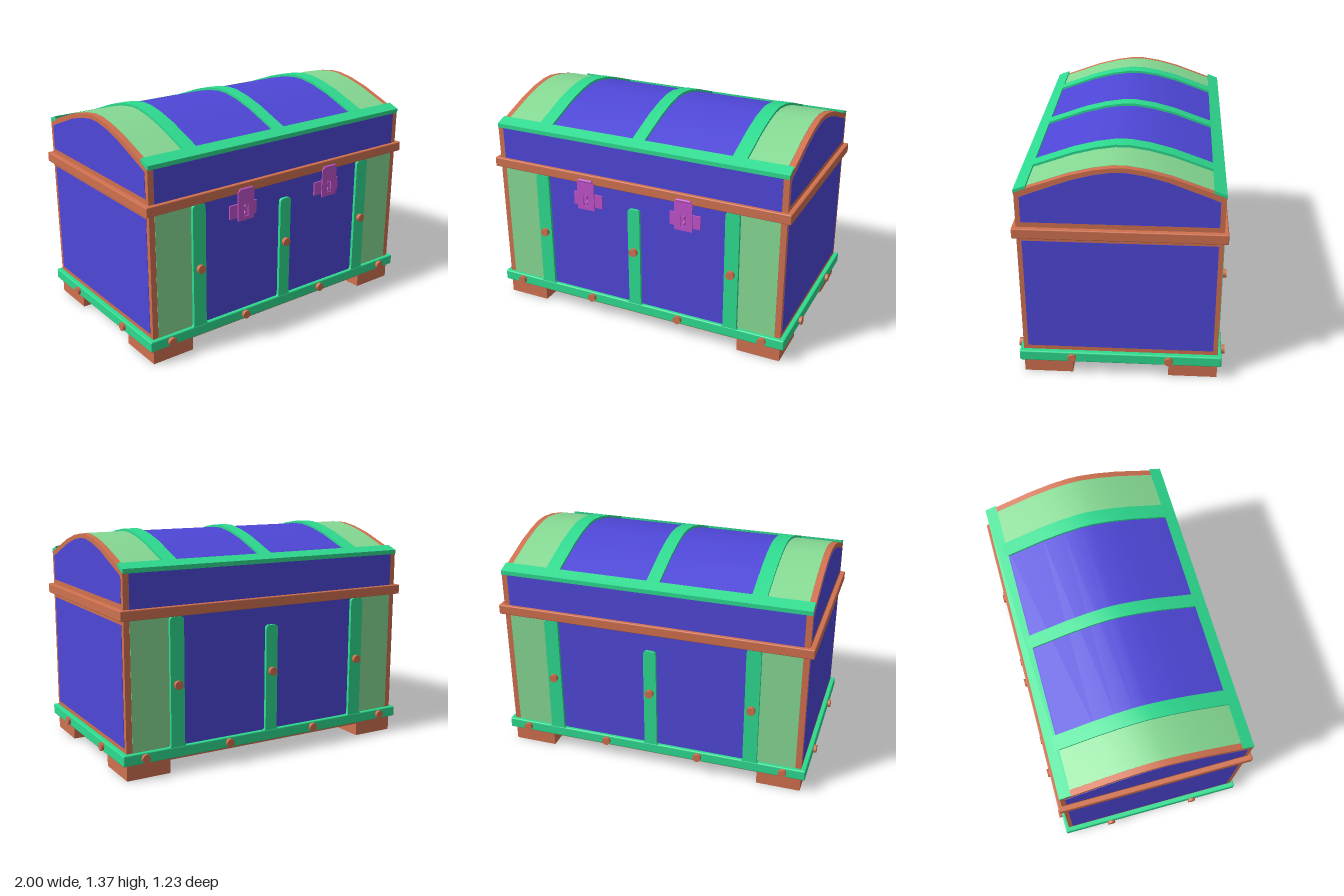
import * as THREE from 'three';
import { toCreasedNormals } from 'three/addons/utils/BufferGeometryUtils.js';
import { RoundedBoxGeometry } from 'three/addons/geometries/RoundedBoxGeometry.js';

const paint = (color) => new THREE.MeshStandardMaterial({ color });
const W = 0.953, D = 0.573; // half width and half depth of the chest

// Half of the lid's arch as [z, y], from eave to crown
const ARCH = [[D, 1.195], [0.5, 1.223], [0.28, 1.303], [0.15, 1.337], [0.04, 1.354]];

export function createModel() {
  const chest = new THREE.Group();
  chest.name = 'chest';
  chest.position.z = -0.007;

  const wood = paint(0xd0714f), trim = paint(0x2edb90), side = paint(0x86da94);
  const panel = paint(0x4f47d8), metal = paint(0xc052c8);

  function add(name, geometry, material, x = 0, y = 0, z = 0, parent = chest) {
    const mesh = new THREE.Mesh(geometry, material);
    mesh.name = name;
    mesh.position.set(x, y, z);
    parent.add(mesh);
    return mesh;
  }

  // Box given by its limits
  function box(name, material, x0, x1, y0, y1, z0, z1, parent = chest) {
    return add(name, new THREE.BoxGeometry(x1 - x0, y1 - y0, z1 - z0), material,
      (x0 + x1) / 2, (y0 + y1) / 2, (z0 + z1) / 2, parent);
  }

  // Outline in [z, y] extruded along x from x0 to x1
  function alongX(name, material, outline, x0, x1) {
    const shape = new THREE.Shape(outline.map(([z, y]) => new THREE.Vector2(-z, y)));
    const geometry = new THREE.ExtrudeGeometry(shape, { depth: x1 - x0, bevelEnabled: false });
    geometry.rotateY(Math.PI / 2);
    return add(name, toCreasedNormals(geometry, 0.5), material, x0);
  }

  const mirrorArch = (pts) => [...pts, ...[...pts].reverse().map(([z, y]) => [-z, y])];
  const arch = mirrorArch(ARCH);

  // Thin skin following the arch
  function archSkin(name, material, pts, x0, x1, lift) {
    const upper = pts.map(([z, y]) => [z, y + lift]);
    const lower = [...pts].reverse().map(([z, y]) => [z, y - 0.01]);
    alongX(name, material, [...upper, ...lower], x0, x1);
  }

  // Body, feet, base band and rim
  box('body', wood, -W, W, 0.08, 0.95, -D, D);
  for (const sx of [-1, 1]) for (const sz of [-1, 1]) {
    add('foot', new THREE.BoxGeometry(0.272, 0.1, 0.288), wood, sx * (W - 0.136), 0.05, sz * (D - 0.144));
  }
  add('baseBand', new RoundedBoxGeometry(1.964, 0.066, 1.192, 2, 0.008), trim, 0, 0.128, 0);
  add('rim', new RoundedBoxGeometry(1.964, 0.06, 1.194, 2, 0.006), wood, 0, 0.955, 0);

  // End panels of the body
  for (const s of [-1, 1]) {
    box('endPanel', panel, s * W - 0.002, s * W + 0.002, 0.188, 0.898, -0.545, 0.545);
  }

  // Lid with its end panels, front and back panels
  alongX('lid', wood, [[D, 0.95], ...arch, [-D, 0.95]], -W, W);
  const endArch = mirrorArch(ARCH.map(([z, y]) => [z * 0.95, y - 0.026]));
  for (const s of [-1, 1]) {
    alongX('lidEndPanel', panel, [[0.545, 1.015], ...endArch, [-0.545, 1.015]], s * W - 0.002, s * W + 0.002);
    box('lidFrontPanel', panel, -0.917, 0.917, 0.98, 1.194, s * D - 0.002, s * D + 0.002);
  }

  // Coloured top skins, cross straps and eave strips
  archSkin('lidTopPanel', panel, arch, -0.637, 0.637, 0.002);
  for (const s of [-1, 1]) {
    archSkin('lidSidePanel', side, arch, s > 0 ? 0.637 : -0.917, s > 0 ? 0.917 : -0.637, 0.002);
    archSkin('lidEave', trim, [[s * 0.577, 1.195], [s * 0.507, 1.221]], -W, W, 0.016);
  }
  for (const [x, half] of [[-0.637, 0.044], [0, 0.04], [0.637, 0.044]]) {
    archSkin('lidStrap', trim, arch, x - half, x + half, 0.017);
  }

  // Upright strap with rounded top and flared foot
  function strapGeometry(half, top) {
    const r = 0.025, y0 = 0.155;
    const s = new THREE.Shape();
    s.moveTo(-half - r, y0);
    s.lineTo(half + r, y0);
    s.quadraticCurveTo(half, y0, half, y0 + r);
    s.lineTo(half, top - r);
    s.quadraticCurveTo(half, top, half - r, top);
    s.lineTo(-half + r, top);
    s.quadraticCurveTo(-half, top, -half, top - r);
    s.lineTo(-half, y0 + r);
    s.quadraticCurveTo(-half, y0, -half - r, y0);
    return new THREE.ExtrudeGeometry(s, { depth: 0.026, bevelEnabled: false, curveSegments: 5 });
  }

  // Rivet with its axis along z, or along x for the ends
  function rivet(x, y, z, onEnd) {
    const mesh = add('rivet', new THREE.CylinderGeometry(0.026, 0.026, 0.04, 10), wood, x, y, z);
    if (onEnd) mesh.rotation.z = Math.PI / 2;
    else mesh.rotation.x = Math.PI / 2;
  }

  // Front and back walls: panels, straps and rivets
  for (const s of [-1, 1]) {
    const z0 = s * D - 0.002, z1 = s * D + 0.002;
    box('wallPanel', panel, -0.637, 0.637, 0.12, 0.94, z0, z1);
    box('wallSidePanel', side, -0.917, -0.637, 0.12, 0.94, z0, z1);
    box('wallSidePanel', side, 0.637, 0.917, 0.12, 0.94, z0, z1);
    for (const [x, half, top] of [[-0.637, 0.044, 0.925], [0, 0.04, 0.815], [0.637, 0.044, 0.925]]) {
      add('wallStrap', strapGeometry(half, top), trim, x, 0, s > 0 ? D - 0.005 : -D - 0.021);
      rivet(x, 0.53, s * 0.597);
    }
    for (const x of [-0.843, -0.307, 0.297, 0.847]) rivet(x, 0.128, s * 0.597);
    for (const z of [-0.285, 0.285]) rivet(s * 0.98, 0.128, z, true);
  }

  // Latches: back plate with wings, slotted hasp, hinge pin and staple
  for (const x of [-0.317, 0.337]) {
    const latch = new THREE.Group();
    latch.name = 'latch';
    latch.position.x = x;
    chest.add(latch);
    box('latchWings', metal, -0.098, 0.098, 0.77, 0.855, D - 0.005, D + 0.012, latch);

    const hasp = new THREE.Shape();
    hasp.moveTo(-0.058, 0.758);
    hasp.lineTo(0.058, 0.758);
    hasp.lineTo(0.058, 0.938);
    hasp.lineTo(0.045, 0.95);
    hasp.lineTo(-0.045, 0.95);
    hasp.lineTo(-0.058, 0.938);
    const slot = new THREE.Path();
    slot.moveTo(-0.016, 0.782);
    slot.lineTo(-0.016, 0.857);
    slot.lineTo(0.016, 0.857);
    slot.lineTo(0.016, 0.782);
    hasp.holes.push(slot);
    add('hasp', new THREE.ExtrudeGeometry(hasp, { depth: 0.007, bevelEnabled: false }), metal, 0, 0, 0.604, latch);

    const pin = add('hingePin', new THREE.CylinderGeometry(0.009, 0.009, 0.09, 10), metal, 0, 0.95, 0.607, latch);
    pin.rotation.z = Math.PI / 2;
    const staple = add('staple', new THREE.TorusGeometry(0.022, 0.0065, 8, 14, Math.PI), metal, 0, 0.82, 0.608, latch);
    staple.rotation.set(0, Math.PI / 2, Math.PI / 2, 'YXZ');
    staple.rotation.y = -Math.PI / 2;
    for (const dy of [-0.022, 0.022]) {
      box('stapleLeg', metal, -0.006, 0.006, 0.814 + dy, 0.826 + dy, D, 0.609, latch);
    }
  }

  return chest;
}
